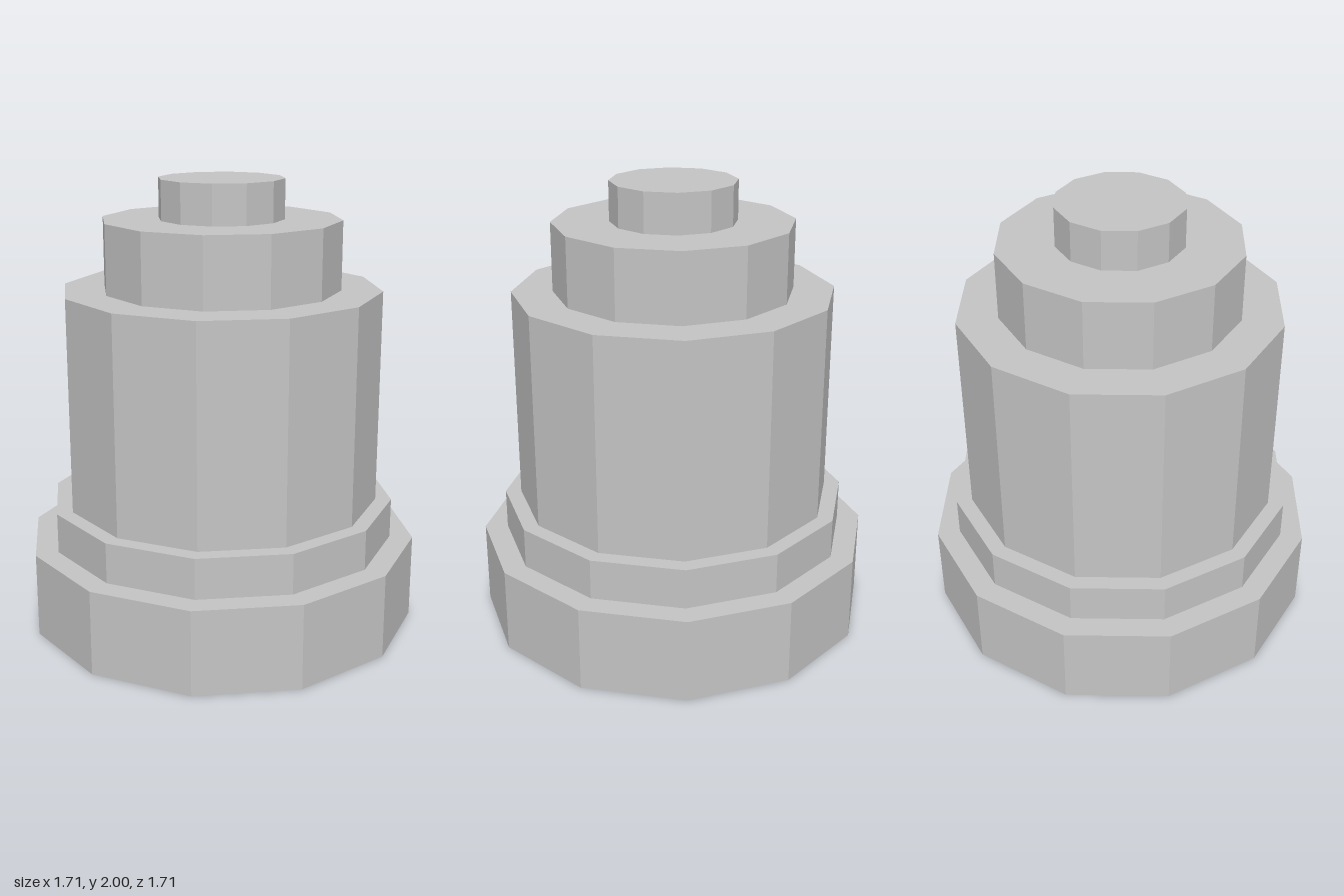
import * as THREE from 'three';

const SIDES = 12;

// Stacked tiers: name, half width across flats, bottom and top height
const TIERS = [
  ['base', 0.855, 0, 0.38],
  ['baseStep', 0.755, 0.38, 0.56],
  ['body', 0.686, 0.56, 1.52],
  ['shoulder', 0.511, 1.52, 1.825],
  ['topKnob', 0.268, 1.825, 2],
];

export function createModel() {
  const model = new THREE.Group();
  model.name = 'steppedColumn';
  const grey = new THREE.MeshStandardMaterial({ color: 0xc4c4c4, flatShading: true });
  grey.name = 'light grey';

  for (const [name, flat, bottom, top] of TIERS) {
    const radius = flat / Math.cos(Math.PI / SIDES);
    const geometry = new THREE.CylinderGeometry(radius, radius, top - bottom, SIDES);
    geometry.rotateY(Math.PI / SIDES); // flat sides face the axes
    const tier = new THREE.Mesh(geometry, grey);
    tier.name = name;
    tier.position.y = (bottom + top) / 2;
    model.add(tier);
  }
  return model;
}
